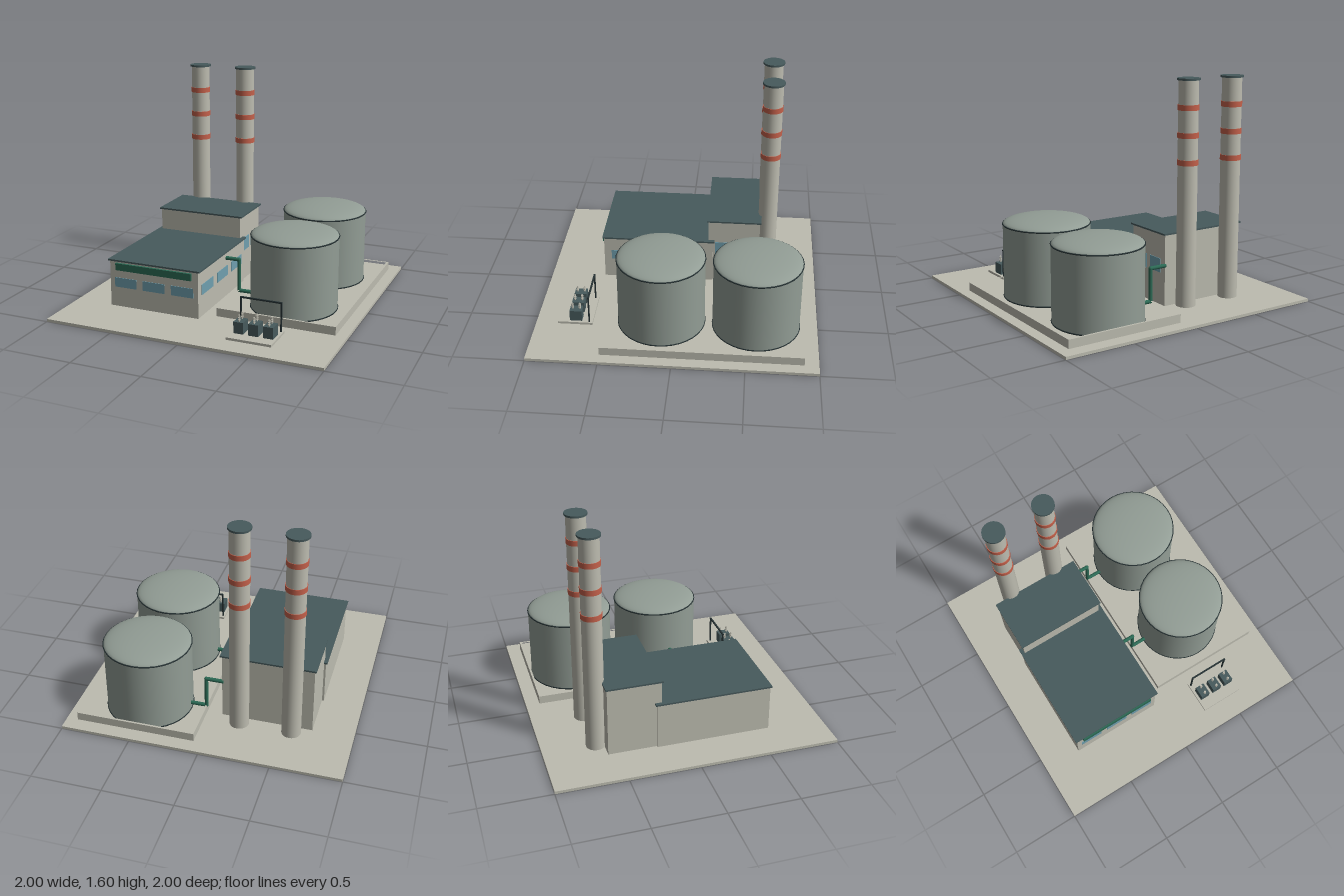
import * as THREE from 'three';

const mat = (name, color, extra = {}) => Object.assign(new THREE.MeshStandardMaterial({ color, ...extra }), { name });

export function createModel() {
  const concrete = mat('concrete', 0xbdbcb0);
  const tankGrey = mat('tank grey', 0x929d95);
  const slate = mat('slate', 0x475a5c);
  const green = mat('pipe green', 0x2c6a55);
  const glass = mat('window blue', 0x6f9fae);
  const red = mat('stripe red', 0xc4614b);
  const steel = mat('dark steel', 0x263234);

  const root = new THREE.Group();
  root.name = 'powerPlant';
  const group = (name, x = 0, z = 0) => {
    const g = new THREE.Group();
    g.name = name;
    g.position.set(x, 0, z);
    root.add(g);
    return g;
  };
  const add = (parent, name, geometry, material, x = 0, y = 0, z = 0) => {
    const m = new THREE.Mesh(geometry, material);
    m.name = name;
    m.position.set(x, y, z);
    parent.add(m);
    return m;
  };
  // Box given by its lower and upper limits
  const box = (parent, name, material, [x0, x1], [y0, y1], [z0, z1]) =>
    add(parent, name, new THREE.BoxGeometry(x1 - x0, y1 - y0, z1 - z0), material,
      (x0 + x1) / 2, (y0 + y1) / 2, (z0 + z1) / 2);
  // Upright cylinder between two heights
  const drum = (parent, name, material, r, y0, y1, sides = 24, x = 0, z = 0) =>
    add(parent, name, new THREE.CylinderGeometry(r, r, y1 - y0, sides), material, x, (y0 + y1) / 2, z);

  box(root, 'groundSlab', concrete, [-1, 1], [0, 0.02], [-1, 1]);

  // Main hall with roof, sign band and windows
  const hall = group('mainHall');
  box(hall, 'hallWalls', concrete, [-0.72, -0.036], [0.02, 0.356], [-0.225, 0.595]);
  box(hall, 'hallRoof', slate, [-0.732, -0.022], [0.356, 0.368], [-0.237, 0.605]);
  box(hall, 'greenBand', green, [-0.67, -0.085], [0.294, 0.345], [0.595, 0.612]);
  for (const x of [-0.598, -0.378, -0.158])
    box(hall, 'frontWindow', glass, [x - 0.085, x + 0.085], [0.165, 0.235], [0.594, 0.599]);
  for (const z of [0.445, 0.185, -0.075])
    box(hall, 'sideWindow', glass, [-0.037, -0.032], [0.175, 0.25], [z - 0.095, z + 0.095]);

  // Taller boiler house behind the hall
  const boiler = group('boilerHouse');
  box(boiler, 'boilerWalls', concrete, [-0.706, -0.052], [0.02, 0.526], [-0.57, -0.19]);
  box(boiler, 'boilerRoof', slate, [-0.717, -0.038], [0.526, 0.538], [-0.58, -0.18]);
  for (const z of [-0.3, -0.46])
    box(boiler, 'boilerWindow', glass, [-0.053, -0.048], [0.25, 0.35], [z - 0.06, z + 0.06]);

  // Chimneys
  for (const x of [-0.567, -0.192]) {
    const chimney = group('chimney', x, -0.625);
    drum(chimney, 'chimneyShaft', concrete, 0.069, 0.02, 1.585);
    drum(chimney, 'chimneyCap', slate, 0.079, 1.583, 1.597);
    for (const y of [1.03, 1.215, 1.402]) drum(chimney, 'chimneyStripe', red, 0.073, y - 0.019, y + 0.019);
  }

  // Low wall around the tanks
  const bund = new THREE.Shape([[0.06, -0.9], [0.92, -0.9], [0.92, 0.5], [0.06, 0.5]].map(p => new THREE.Vector2(p[0], -p[1])));
  bund.holes.push(new THREE.Path([[0.075, -0.885], [0.905, -0.885], [0.905, 0.485], [0.075, 0.485]].map(p => new THREE.Vector2(p[0], -p[1]))));
  add(root, 'bundWall', new THREE.ExtrudeGeometry(bund, { depth: 0.06, bevelEnabled: false }).rotateX(-Math.PI / 2), concrete, 0, 0.02, 0);

  // Storage tanks with feed pipes
  for (const z of [-0.565, 0.11]) {
    const tank = group('storageTank', 0.49, z);
    drum(tank, 'tankWall', tankGrey, 0.31, 0.02, 0.552, 36);
    add(tank, 'tankDome', new THREE.SphereGeometry(0.31, 36, 10, 0, Math.PI * 2, 0, Math.PI / 2).scale(1, 0.17, 1), tankGrey, 0, 0.552, 0);
    for (const y of [0.026, 0.552])
      add(tank, 'tankRim', new THREE.TorusGeometry(0.31, 0.005, 6, 36).rotateX(Math.PI / 2), steel, 0, y, 0);

    const pipe = group('feedPipe', 0, z);
    const run = (length, x, y, flat) => {
      const m = add(pipe, 'pipeRun', new THREE.CylinderGeometry(0.014, 0.014, length, 12), green, x, y, 0);
      if (flat) m.rotation.z = Math.PI / 2;
    };
    run(0.126, 0.003, 0.31, true);
    run(0.235, 0.066, 0.1925, false);
    run(0.134, 0.133, 0.075, true);
    for (const y of [0.31, 0.075]) add(pipe, 'pipeElbow', new THREE.SphereGeometry(0.0145, 12, 8), green, 0.066, y, 0);
  }

  // Transformer yard with insulators and gantry
  const yard = group('transformerYard');
  box(yard, 'yardPad', concrete, [0.275, 0.595], [0.02, 0.037], [0.595, 0.843]);
  for (const x of [0.33, 0.436, 0.541]) {
    box(yard, 'transformer', slate, [x - 0.035, x + 0.035], [0.037, 0.118], [0.672, 0.76]);
    for (const z of [0.69, 0.742]) {
      drum(yard, 'insulatorCore', concrete, 0.005, 0.118, 0.166, 8, x, z);
      for (const y of [0.13, 0.143, 0.156]) drum(yard, 'insulatorDisc', concrete, 0.009, y - 0.003, y + 0.003, 10, x, z);
    }
  }
  for (const x of [0.291, 0.58])
    box(yard, 'gantryPost', steel, [x - 0.005, x + 0.005], [0.037, 0.245], [0.614, 0.624]);
  box(yard, 'gantryBeam', steel, [0.286, 0.585], [0.236, 0.246], [0.613, 0.625]);

  return root;
}
